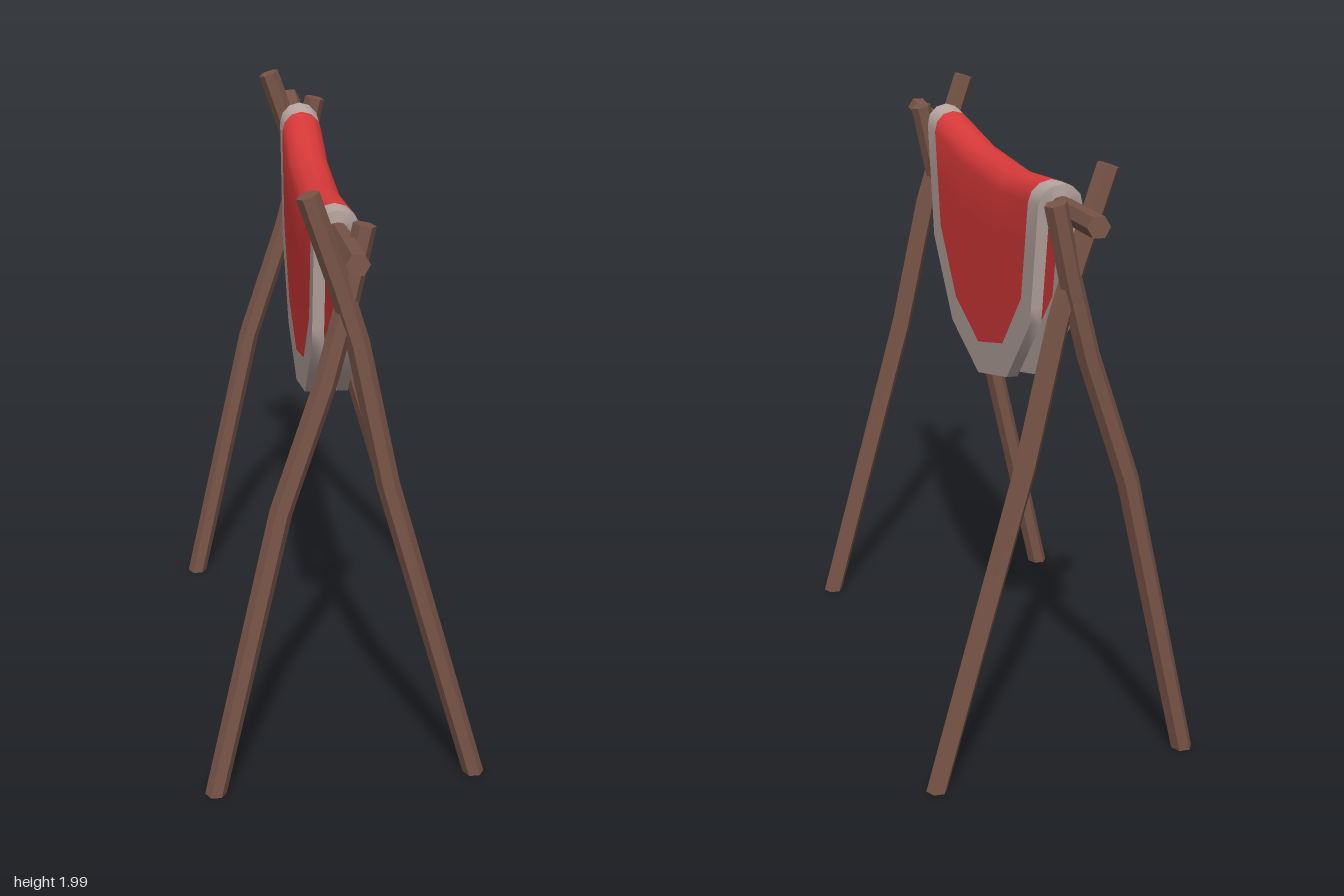
import * as THREE from 'three';
import { toCreasedNormals } from 'three/addons/utils/BufferGeometryUtils.js';

const wood = new THREE.MeshStandardMaterial({ color: 0x795548 });
wood.name = 'brown wood';
const red = new THREE.MeshStandardMaterial({ color: 0xde3b3b });
red.name = 'red cloth';
const grey = new THREE.MeshStandardMaterial({ color: 0xbcaaa4 });
grey.name = 'grey trim';

// Mesh from a flat list of triangle corners
function meshOf(name, points, material, crease) {
  const geo = new THREE.BufferGeometry().setFromPoints(points);
  const mesh = new THREE.Mesh(toCreasedNormals(geo, crease), material);
  mesh.name = name;
  return mesh;
}

function quad(out, a, b, c, d) {
  for (const [p, q, r] of [[a, b, c], [a, c, d]]) {
    if (p.distanceTo(q) > 1e-5 && q.distanceTo(r) > 1e-5 && r.distanceTo(p) > 1e-5) out.push(p, q, r);
  }
}

// Hexagonal branch swept along a bent path; standing branches are cut flat at the ground
function branch(name, path, radius) {
  const sides = 6, out = [];
  const pts = path.map((p) => new THREE.Vector3(...p));
  const last = pts.length - 1;
  const side = new THREE.Vector3(1, 0, 0);
  const rings = pts.map((p, i) => {
    const t = pts[Math.min(i + 1, last)].clone().sub(pts[Math.max(i - 1, 0)]).normalize();
    const u = side.clone().addScaledVector(t, -side.dot(t)).normalize();
    const v = t.clone().cross(u);
    return Array.from({ length: sides }, (_, k) => {
      const a = (k / sides) * Math.PI * 2;
      const q = p.clone().addScaledVector(u, Math.cos(a) * radius).addScaledVector(v, Math.sin(a) * radius);
      if (p.y === 0) q.y = 0;
      return q;
    });
  });
  for (let k = 0; k < sides; k++) {
    const n = (k + 1) % sides;
    for (let i = 0; i < last; i++) quad(out, rings[i][k], rings[i][n], rings[i + 1][n], rings[i + 1][k]);
    out.push(pts[0], rings[0][n], rings[0][k], pts[last], rings[last][k], rings[last][n]);
  }
  return meshOf(name, out, wood, 0.7);
}

// Linear interpolation through [y, value] pairs
function lerpTable(table, y) {
  for (let i = 1; i < table.length; i++) {
    const [y0, v0] = table[i - 1], [y1, v1] = table[i];
    if (y <= y1) return v0 + (v1 - v0) * Math.max(0, (y - y0) / (y1 - y0));
  }
  return table[table.length - 1][1];
}

// Thick blanket folded over the bar: rows run up one side, over the ridge and down the other
function blanket() {
  const outline = [[1.10, 0], [1.19, 0.34], [1.44, 0.59], [1.90, 0.68]];
  const panel = [[1.21, 0], [1.29, 0.29], [1.5, 0.495], [1.89, 0.575]];
  const heights = [1.10, 1.19, 1.21, 1.29, 1.44, 1.5, 1.66];
  const ridgeY = 1.83, outerR = 0.07, innerR = 0.033;
  const sag = [0, 0.008, 0.053, 0.053, 0.008, 0];

  const rows = heights.map((y) => ({ y, dx: -1, dy: 0 }));
  for (let k = 0; k <= 6; k++) {
    const a = Math.PI * (1 - k / 6);
    rows.push({ y: ridgeY, dx: Math.cos(a), dy: Math.sin(a) });
  }
  for (const y of [...heights].reverse()) rows.push({ y, dx: 1, dy: 0 });

  const layer = (r) => rows.map(({ y, dx, dy }) => {
    const level = y + outerR * dy;
    const W = lerpTable(outline, level), w = lerpTable(panel, level);
    const fade = THREE.MathUtils.clamp((level - 1.4) / 0.4, 0, 1);
    return [-W, -w, -w * 0.38, w * 0.38, w, W].map((z, c) => new THREE.Vector3(
      -0.025 + 0.012 * z - (c === 2 || c === 3 ? 0.008 * fade : 0) + dx * r,
      y + dy * r - sag[c] * fade, z));
  });
  const O = layer(outerR), I = layer(innerR);

  const redPts = [], greyPts = [];
  for (let r = 0; r < rows.length - 1; r++) {
    for (let c = 0; c < 5; c++) {
      const out = c === 0 || c === 4 ? greyPts : redPts;
      quad(out, O[r][c], O[r][c + 1], O[r + 1][c + 1], O[r + 1][c]);
      quad(out, I[r][c], I[r + 1][c], I[r + 1][c + 1], I[r][c + 1]);
    }
    // Hem edges closing the thickness
    quad(greyPts, I[r][5], I[r + 1][5], O[r + 1][5], O[r][5]);
    quad(greyPts, O[r][0], O[r + 1][0], I[r + 1][0], I[r][0]);
  }
  const group = new THREE.Group();
  group.name = 'blanket';
  group.add(meshOf('blanketPanel', redPts, red, 0.8), meshOf('blanketTrim', greyPts, grey, 0.8));
  return group;
}

export function createModel() {
  const model = new THREE.Group();
  model.name = 'blanketRack';

  // Two crossed-pole supports
  for (const [name, x, z] of [['frontSupport', 0, 0], ['backSupport', -0.02, -1.6]]) {
    const support = new THREE.Group();
    support.name = name;
    support.add(
      branch('rightFootPole', [[-0.42, 0, 0.83], [-0.2, 0.98, 0.8], [-0.06, 1.4, 0.785], [0.005, 1.65, 0.77], [0.055, 1.88, 0.762]], 0.036),
      branch('leftFootPole', [[0.427, 0, 0.768], [0.13, 1.06, 0.797], [0.035, 1.52, 0.785], [-0.02, 1.7, 0.788], [-0.115, 1.98, 0.792]], 0.036));
    support.position.set(x, 0, z);
    model.add(support);
  }

  // Sagging crossbar
  model.add(branch('crossbar', [[0.012, 1.833, 1], [0, 1.803, 0.65], [-0.022, 1.775, 0.2],
    [-0.033, 1.775, -0.2], [-0.043, 1.82, -0.65], [-0.045, 1.842, -1]], 0.036));

  model.add(blanket());
  return model;
}
